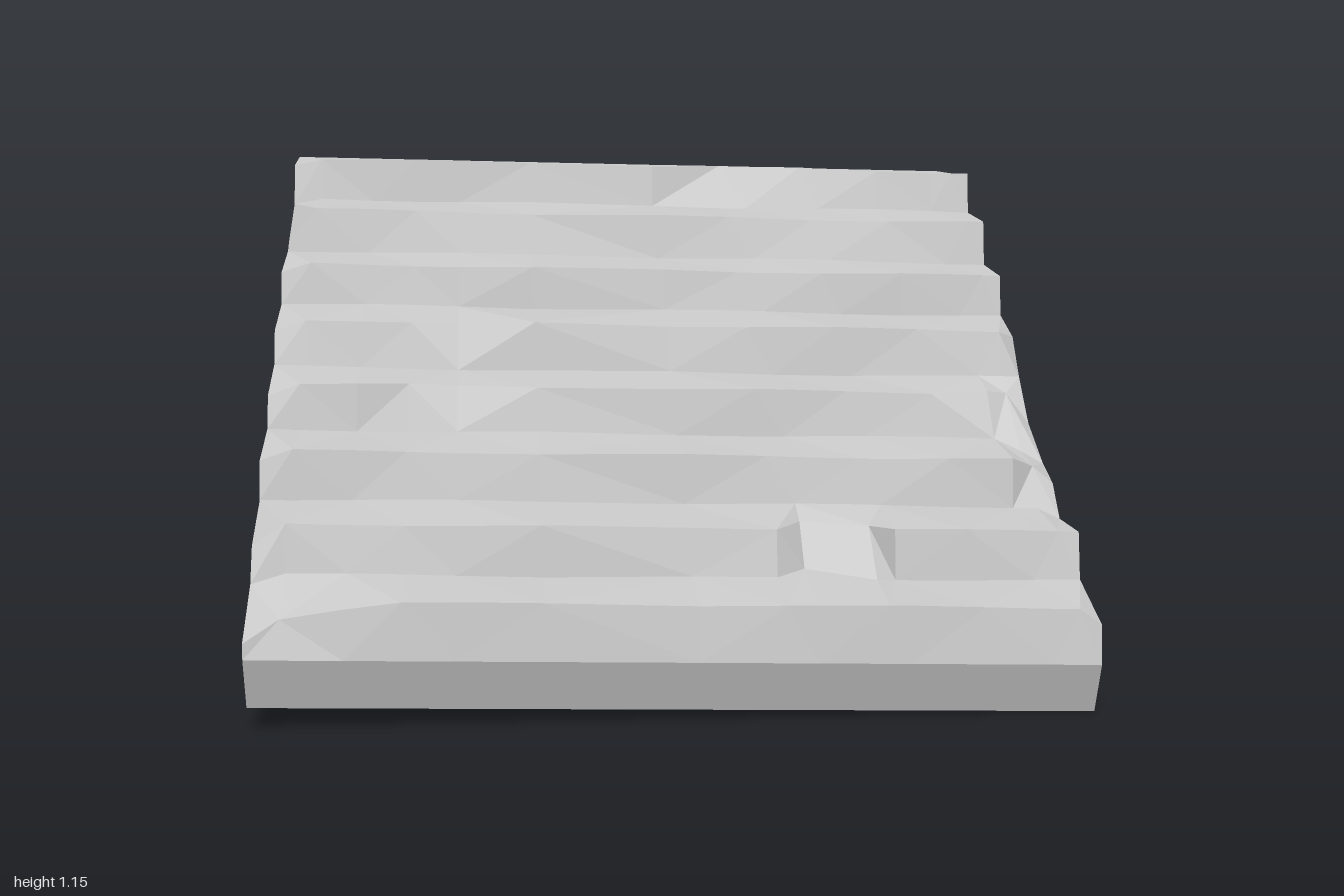
import * as THREE from 'three';

// Worn stone stair slab: one stepped profile lofted along x, then chipped locally.
const STEPS = 8;
const treadY = [0.285, 0.407, 0.53, 0.65, 0.777, 0.892, 1.012, 1.132];
const riserTopZ = [0.97, 0.73, 0.487, 0.243, 0.01, -0.235, -0.48, -0.72];
const riserFootZ = [0, 0.752, 0.508, 0.265, 0.035, -0.215, -0.448, -0.697];
const stations = [-0.97, -0.89, -0.75, -0.62, -0.5, -0.3, 0.05, 0.25, 0.32, 0.48, 0.53, 0.7, 0.86, 0.92, 0.97];

// Indices of points in the profile
const MID = 1, CREST = 2 * STEPS + 1;
const foot = (i) => 1 + 2 * i;
const nose = (i) => 2 + 2 * i;

// Chips: [station x, profile point, dy, dz]
const chips = [
  // top step and back edge
  [0.25, nose(7), -0.005, -0.08], [0.32, nose(7), -0.005, -0.065], [0.48, nose(7), 0, -0.035],
  [0.53, nose(7), 0, -0.025], [0.32, CREST, -0.012, -0.01], [0.48, CREST, -0.005, -0.02],
  [0.97, CREST, 0, 0.11],
  // worn noses in the middle of the flight
  [-0.5, nose(4), -0.015, -0.055], [-0.62, nose(4), -0.005, -0.015],
  [-0.5, nose(3), -0.01, -0.05], [-0.62, nose(3), -0.005, -0.03],
  // broken hole in the second step
  [0.32, nose(1), -0.01, -0.13], [0.48, nose(1), -0.01, -0.08],
  [0.32, foot(1), 0.01, -0.05], [0.48, foot(1), 0.01, 0.04],
  // right edge break
  [0.97, nose(3), -0.09, -0.08], [0.97, foot(3), -0.045, 0.08], [0.97, nose(2), -0.07, -0.04],
  [0.97, foot(2), -0.02, 0.03], [0.92, nose(3), -0.02, -0.13], [0.92, foot(3), -0.02, 0.05],
  [0.92, nose(2), -0.03, -0.05], [0.86, nose(3), -0.005, -0.08], [0.97, nose(4), -0.02, -0.06],
  [0.97, nose(0), -0.035, 0.005],
  // left edge breaks
  [-0.97, nose(0), -0.09, 0.015], [-0.89, nose(0), -0.04, -0.01], [-0.75, nose(0), -0.015, 0],
  [-0.97, nose(1), -0.06, -0.02], [-0.97, foot(1), -0.02, 0.02], [-0.97, nose(2), -0.03, -0.01],
  [-0.97, nose(3), -0.03, -0.01], [-0.97, nose(4), -0.03, -0.01], [-0.97, nose(5), -0.03, -0.01],
  [-0.97, nose(6), -0.09, -0.03], [-0.97, nose(7), -0.02, -0.03], [-0.97, foot(7), -0.02, -0.02],
];

// Cross-section at x, from the bottom front edge over the steps to the bottom back edge
function section(x) {
  const t = x / 0.97;
  const points = [[0.93, 0.028], [0.985, 0.155], [riserTopZ[0], treadY[0]]];
  for (let i = 1; i < STEPS; i++) {
    points.push([riserFootZ[i], treadY[i - 1] + 0.008]);
    points.push([riserTopZ[i], treadY[i]]);
  }
  points.push([-0.935, 1.118], [-0.985, 1.007]);
  return points.map(([z, y], k) => {
    const worn = k > MID && k < CREST ? 0.004 * Math.sin(7 * x + 2.3 * k) : 0;
    const p = new THREE.Vector3(x, y - 0.028 * t + worn, z - 0.015 * t + worn);
    for (const [cx, ck, dy, dz] of chips) {
      if (cx === x && ck === k) { p.y += dy; p.z += dz; }
    }
    return p;
  });
}

function slabGeometry() {
  const rows = stations.map(section);
  const n = rows[0].length;
  const out = [];
  const tri = (...corners) => corners.forEach((p) => out.push(p.x, p.y, p.z));

  // Skin around the profile, including the flat underside
  for (let s = 0; s < rows.length - 1; s++) {
    for (let k = 0; k < n; k++) {
      const a = rows[s][k], b = rows[s + 1][k];
      const c = rows[s + 1][(k + 1) % n], d = rows[s][(k + 1) % n];
      if ((s + k) % 2) { tri(a, b, c); tri(a, c, d); } else { tri(a, b, d); tri(b, c, d); }
    }
  }

  // Side walls
  for (const [row, side] of [[rows[0], -1], [rows[rows.length - 1], 1]]) {
    const outline = row.map((p) => new THREE.Vector2(p.z, p.y));
    for (const [i, j, k] of THREE.ShapeUtils.triangulateShape(outline, [])) {
      const a = row[i], b = row[j], c = row[k];
      const nx = (b.y - a.y) * (c.z - a.z) - (b.z - a.z) * (c.y - a.y);
      if (nx * side > 0) tri(a, b, c); else tri(a, c, b);
    }
  }

  const geometry = new THREE.BufferGeometry();
  geometry.setAttribute('position', new THREE.Float32BufferAttribute(out, 3));
  geometry.computeVertexNormals();
  return geometry;
}

export function createModel() {
  const group = new THREE.Group();
  group.name = 'stoneStairs';
  const material = new THREE.MeshStandardMaterial({ color: 0xcccccc, flatShading: true });
  const slab = new THREE.Mesh(slabGeometry(), material);
  slab.name = 'stairSlab';
  group.add(slab);
  return group;
}
